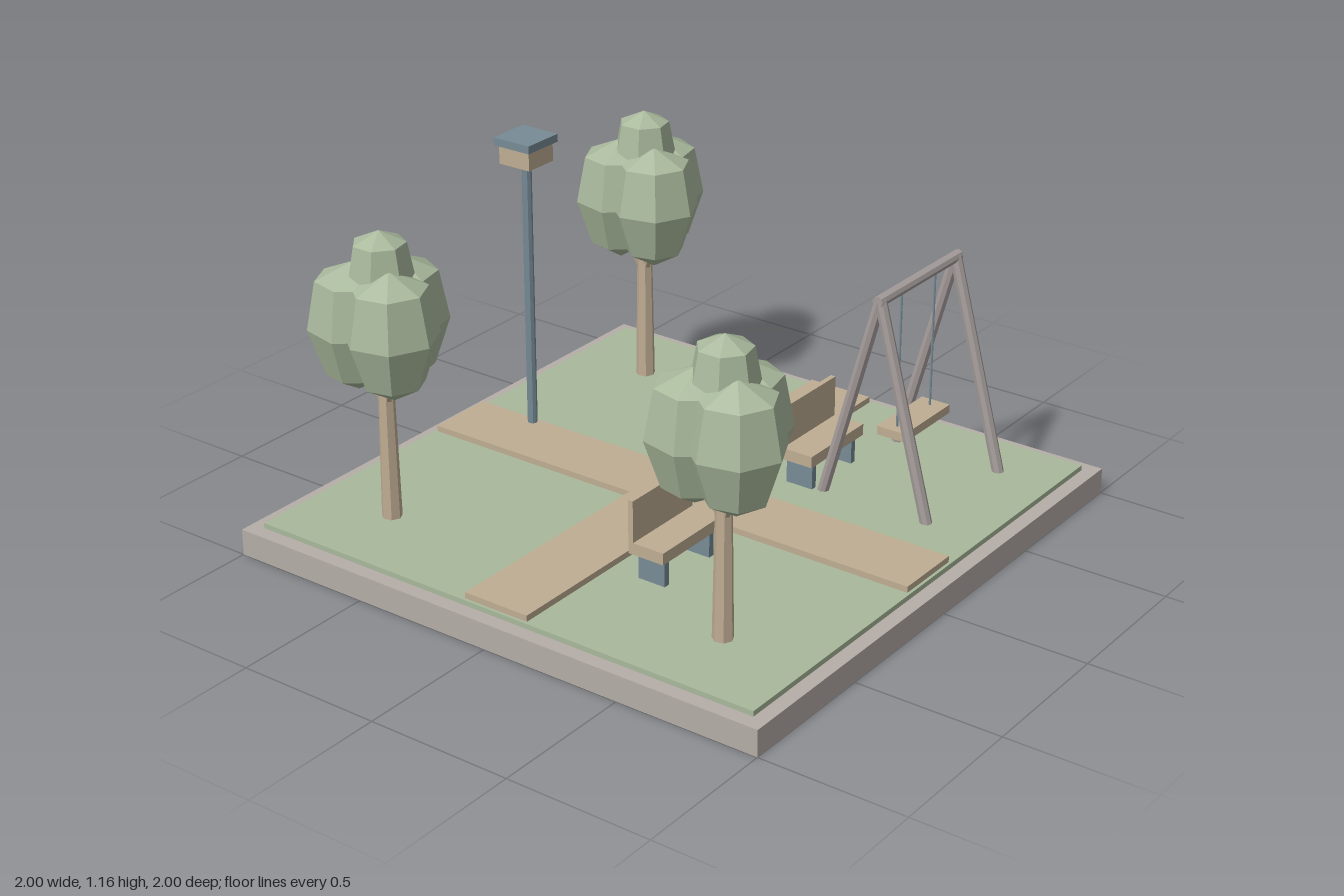
import * as THREE from 'three';

const mat = (name, color) => {
  const m = new THREE.MeshStandardMaterial({ color, flatShading: true });
  m.name = name;
  return m;
};

export function createModel() {
  const stone = mat('stone', 0xb5ada8);
  const grass = mat('grass green', 0xa9b99c);
  const tan = mat('tan wood', 0xbfad93);
  const slate = mat('slate blue', 0x778b96);
  const steel = mat('steel', 0xa59d9b);

  const park = new THREE.Group();
  park.name = 'park';

  const add = (parent, name, geometry, material) => {
    const mesh = new THREE.Mesh(geometry, material);
    mesh.name = name;
    parent.add(mesh);
    return mesh;
  };
  // Box given by its lower and upper corners
  const box = (parent, name, material, a, b) => {
    const m = add(parent, name, new THREE.BoxGeometry(b[0] - a[0], b[1] - a[1], b[2] - a[2]), material);
    m.position.set((a[0] + b[0]) / 2, (a[1] + b[1]) / 2, (a[2] + b[2]) / 2);
    return m;
  };
  // Round bar between two points
  const bar = (parent, name, material, a, b, r0, r1 = r0, sides = 8) => {
    const p = new THREE.Vector3(...a), q = new THREE.Vector3(...b);
    const m = add(parent, name, new THREE.CylinderGeometry(r1, r0, p.distanceTo(q), sides), material);
    m.position.copy(p).lerp(q, 0.5);
    m.quaternion.setFromUnitVectors(new THREE.Vector3(0, 1, 0), q.sub(p).normalize());
    return m;
  };
  const group = (name, x = 0, z = 0) => {
    const g = new THREE.Group();
    g.name = name;
    g.position.set(x, 0, z);
    park.add(g);
    return g;
  };

  // Ground: slab, lawn and crossing paths
  box(park, 'baseSlab', stone, [-1, 0, -1], [1, 0.09, 1]);
  box(park, 'lawn', grass, [-0.95, 0.09, -0.95], [0.95, 0.108, 0.95]);
  const w = 0.12, l = 0.94;
  const cross = new THREE.Shape([
    [w, w], [w, l], [-w, l], [-w, w], [-l, w], [-l, -w],
    [-w, -w], [-w, -l], [w, -l], [w, -w], [l, -w], [l, w],
  ].map(([x, y]) => new THREE.Vector2(x, y)));
  const pathGeometry = new THREE.ExtrudeGeometry(cross, { depth: 0.025, bevelEnabled: false });
  pathGeometry.rotateX(-Math.PI / 2);
  add(park, 'paths', pathGeometry, tan).position.y = 0.104;

  // Trees: forked trunk with three leaf clumps and a small crown on top
  const profile = [[0, -1], [0.66, -0.72], [1, 0], [0.8, 0.74], [0, 1]]
    .map(([x, y]) => new THREE.Vector2(x, y));
  const clumpGeometry = new THREE.LatheGeometry(profile, 7);
  const clump = (tree, name, x, y, z, radius, half, turn) => {
    const m = add(tree, name, clumpGeometry, grass);
    m.position.set(x, y, z);
    m.scale.set(radius, half, radius);
    m.rotation.y = turn;
  };
  for (const [x, z] of [[-0.67, -0.655], [0.677, -0.655], [-0.67, 0.645]]) {
    const tree = group('tree', x, z);
    bar(tree, 'trunk', tan, [0, 0.1, 0], [0, 0.72, 0], 0.034, 0.024, 7);
    for (let i = 0; i < 3; i++) {
      const a = i * Math.PI * 2 / 3;
      const cx = Math.cos(a) * 0.084, cz = Math.sin(a) * 0.084;
      bar(tree, 'branch', tan, [0, 0.5, 0], [cx, 0.68, cz], 0.016, 0.012, 6);
      // One corner of each clump points outwards
      const turn = [Math.PI / 2, 0, Math.PI][i];
      clump(tree, 'leafClump', cx, 0.77, cz, 0.154, 0.217, turn);
    }
    clump(tree, 'crown', 0, 0.94, 0, 0.107, 0.152, Math.PI / 2);
  }

  // Benches
  for (const x of [-0.402, 0.402]) {
    const bench = group('bench', x);
    box(bench, 'benchSeat', tan, [-0.153, 0.2, 0.208], [0.153, 0.24, 0.34]);
    box(bench, 'benchBack', tan, [-0.153, 0.24, 0.208], [0.153, 0.382, 0.226]);
    for (const s of [-1, 1]) {
      box(bench, 'benchLeg', slate, [s * 0.116 - 0.011, 0.1, 0.226], [s * 0.116 + 0.011, 0.2, 0.326]);
    }
  }

  // Swing: two A-frames, a top bar and a hanging seat
  const swing = group('swing', 0.525, 0.55);
  bar(swing, 'topBar', steel, [-0.243, 0.827, 0], [0.243, 0.827, 0], 0.019);
  for (const s of [-1, 1]) {
    for (const d of [-1, 1]) {
      bar(swing, 'frameLeg', steel, [s * 0.225, 0.1, d * 0.198], [s * 0.225, 0.83, 0], 0.02);
    }
    bar(swing, 'swingRope', slate, [s * 0.1, 0.33, 0], [s * 0.1, 0.825, 0], 0.0045, 0.0045, 6);
  }
  box(swing, 'swingSeat', tan, [-0.137, 0.314, -0.053], [0.137, 0.344, 0.053]);

  // Lamp
  const lamp = group('lamp', 0.098, -0.7);
  bar(lamp, 'lampPost', slate, [0, 0.1, 0], [0, 1.08, 0], 0.017);
  box(lamp, 'lampHead', tan, [-0.062, 1.07, -0.062], [0.062, 1.135, 0.062]);
  box(lamp, 'lampCap', slate, [-0.075, 1.135, -0.073], [0.075, 1.162, 0.073]);

  return park;
}
